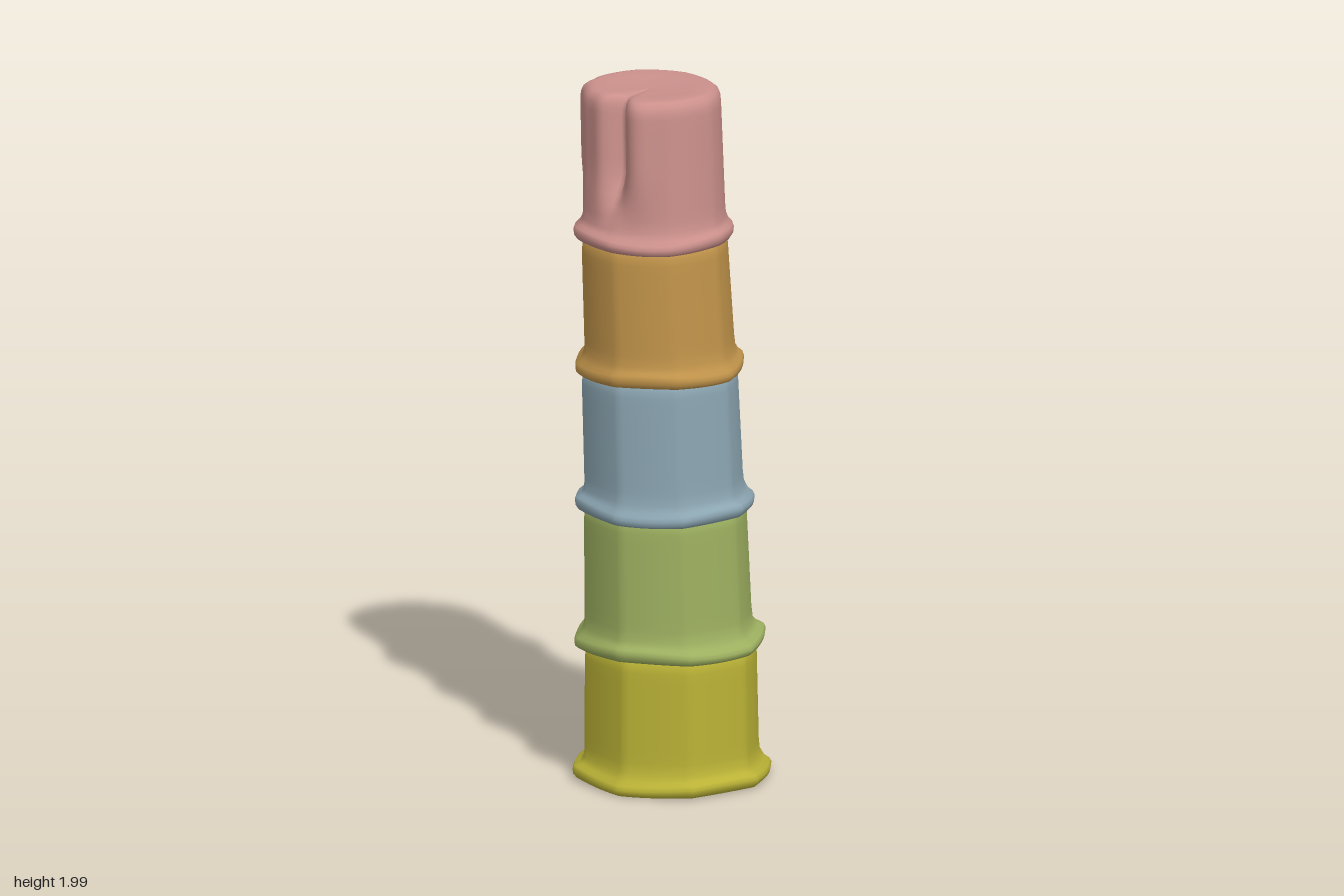
import * as THREE from 'three';

const SEG = 96;

// Each cup: foot height, top height, and [x min, x max, z min, z max] of rim, lower body, upper body
const CUPS = [
  { name: 'yellowCup', color: 0xbab236, y: 0.03, top: 0.41, facet: 0.6,
    rim: [-0.285, 0.285, -0.283, 0.283], low: [-0.25, 0.25, -0.247, 0.25], high: [-0.25, 0.245, -0.24, 0.245] },
  { name: 'greenCup', color: 0x9db060, y: 0.41, top: 0.81, facet: 0.5,
    rim: [-0.283, 0.267, -0.272, 0.268], low: [-0.25, 0.228, -0.237, 0.242], high: [-0.252, 0.212, -0.23, 0.236] },
  { name: 'blueCup', color: 0x8ba5b1, y: 0.805, top: 1.2, facet: 0.5,
    rim: [-0.28, 0.235, -0.253, 0.257], low: [-0.25, 0.203, -0.222, 0.232], high: [-0.26, 0.187, -0.217, 0.228] },
  { name: 'orangeCup', color: 0xc0934a, y: 1.2, top: 1.58, facet: 0.4,
    rim: [-0.28, 0.202, -0.236, 0.243], low: [-0.25, 0.175, -0.212, 0.222], high: [-0.26, 0.153, -0.207, 0.217] },
  { name: 'pinkCup', color: 0xcb908b, y: 1.585, top: 1.998, facet: 0.25, groove: 0.36,
    rim: [-0.283, 0.17, -0.222, 0.236], low: [-0.258, 0.146, -0.197, 0.205], high: [-0.268, 0.132, -0.192, 0.195] },
];

const mix = (a, b, t) => a.map((v, i) => v + (b[i] - v) * t);
const bump = (a, centre, width) => Math.exp(-(((a - centre) / width) ** 2));

// Soft octagon outline, 1 at the corners
function outline(a, facet) {
  const step = Math.PI / 4;
  const d = a - Math.round(a / step) * step;
  const flat = Math.cos(step / 2) / Math.cos(step / 2 - Math.abs(d));
  return 1 + (flat - 1) * facet;
}

function cupGeometry(cup) {
  const { y, top, low, high, rim } = cup;
  const rows = [];
  const add = (h, box, scale = 1, wave = 0) => rows.push({ h, box, scale, wave });

  // Closed foot and rolled rim
  add(y - 0.022, low, 0);
  add(y - 0.022, low, 0.93);
  add(y - 0.02, mix(low, rim, 0.65), 1, 0.5);
  add(y - 0.01, mix(low, rim, 0.95), 1, 1);
  add(y + 0.002, rim, 1, 1);
  add(y + 0.013, mix(low, rim, 0.85), 1, 1);
  add(y + 0.022, mix(low, rim, 0.4), 1, 0.5);
  add(y + 0.04, mix(low, rim, 0.06));

  // Tapered wall, rounded shoulder and lid
  const wallTop = top - 0.05;
  for (let i = 1; i <= 10; i++) {
    const t = i / 10;
    add(y + 0.04 + (wallTop - y - 0.04) * t, mix(low, high, t));
  }
  for (const [drop, s] of [[0.03, 0.99], [0.014, 0.955], [0.004, 0.89], [0, 0.8], [0.003, 0.6], [0.007, 0.3], [0.008, 0]])
    add(top - drop, high, s);

  const pos = [], index = [];
  rows.forEach(({ h, box, scale, wave }, j) => {
    const [x0, x1, z0, z1] = box;
    const grow = THREE.MathUtils.smoothstep(h, y + 0.04, y + 0.22);
    for (let i = 0; i < SEG; i++) {
      const a = (i / SEG) * Math.PI * 2;
      let r = outline(a, cup.facet) * scale;
      let dy = wave * 0.006 * Math.sin(3 * a + y * 9);
      if (cup.groove) {
        // Pinched front crease with a fuller lobe beside it and a small side nub
        const crease = bump(a, Math.PI / 2 + 0.07, 0.2);
        r *= 1 + grow * (0.06 * bump(a, 1.2, 0.2) - cup.groove * crease
          - 0.06 * bump(a, 2.15, 0.3) + 0.05 * bump(a, 2.84, 0.1));
        dy -= 0.015 * crease * grow * scale;
      }
      pos.push((x0 + x1) / 2 + (x1 - x0) / 2 * r * Math.cos(a), h + dy,
        (z0 + z1) / 2 + (z1 - z0) / 2 * r * Math.sin(a));
      if (j < rows.length - 1) {
        const p = j * SEG + i, q = j * SEG + (i + 1) % SEG;
        index.push(p, p + SEG, q, q, p + SEG, q + SEG);
      }
    }
  });

  const geo = new THREE.BufferGeometry();
  geo.setAttribute('position', new THREE.Float32BufferAttribute(pos, 3));
  geo.setIndex(index);
  geo.computeVertexNormals();
  return geo;
}

export function createModel() {
  const group = new THREE.Group();
  group.name = 'stackingCups';
  for (const cup of CUPS) {
    const mesh = new THREE.Mesh(cupGeometry(cup), new THREE.MeshStandardMaterial({ color: cup.color }));
    mesh.name = cup.name;
    group.add(mesh);
  }
  return group;
}
